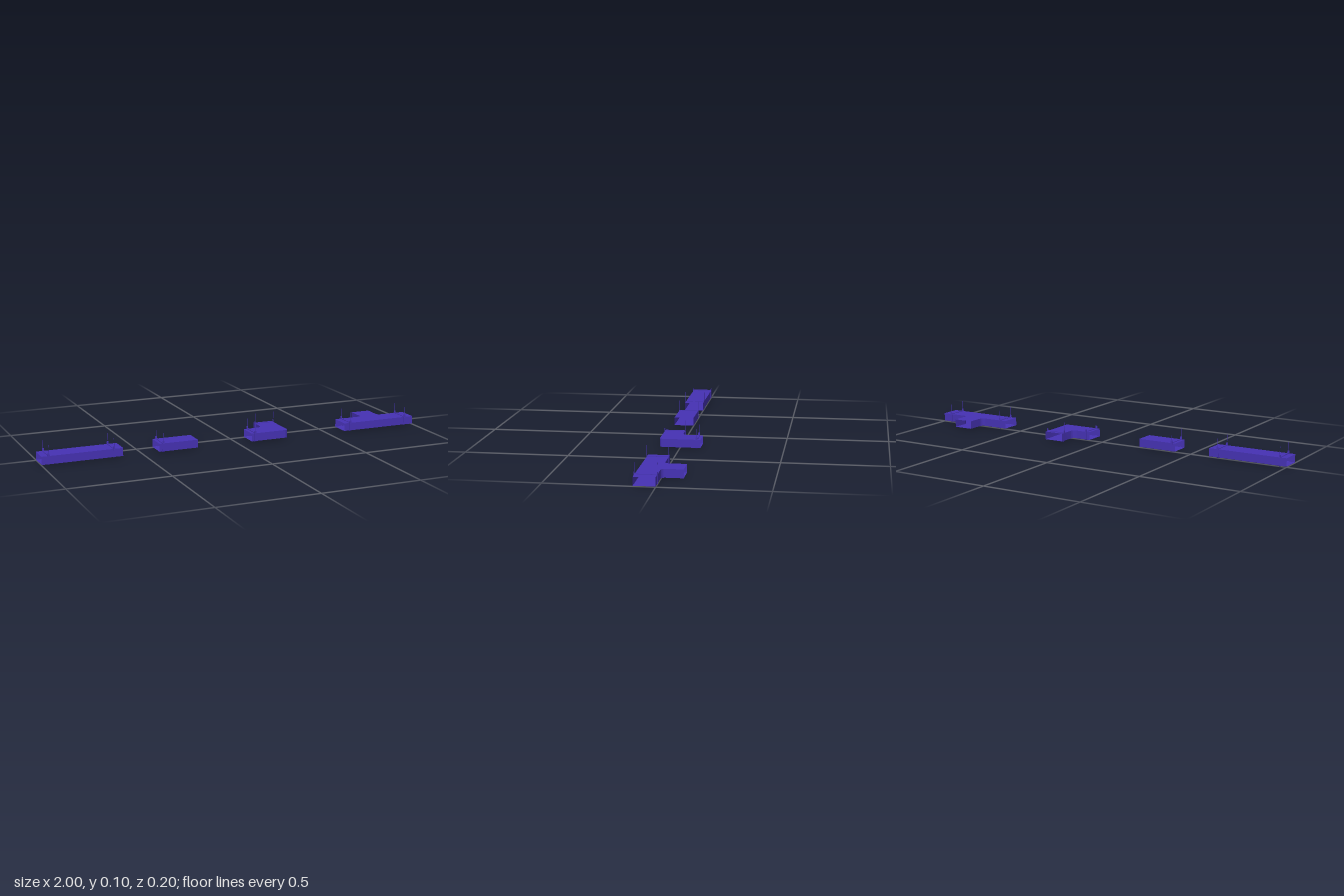
import * as THREE from 'three';
import { toCreasedNormals } from 'three/addons/utils/BufferGeometryUtils.js';

const BOTTOM = 0.0045, TOP = 0.0445, MID = (BOTTOM + TOP) / 2;
const material = new THREE.MeshStandardMaterial({ color: 0x4632b4, side: THREE.DoubleSide });

// Plan path through [x, z, cornerRadius] points, with rounded corners.
function roundedPath(corners) {
  const path = [];
  corners.forEach(([x, z, r], i) => {
    const p = new THREE.Vector2(x, z);
    if (!r) return path.push(p);
    const toward = ([qx, qz]) => new THREE.Vector2(qx - x, qz - z).setLength(r).add(p);
    const a = toward(corners[i - 1]), b = toward(corners[i + 1]);
    path.push(...new THREE.QuadraticBezierCurve(a, p, b).getPoints(8));
  });
  return path;
}

// Upright sheet following a plan path.
function wallGeometry(path) {
  const position = [], index = [];
  path.forEach((p, i) => {
    position.push(p.x, BOTTOM, p.y, p.x, TOP, p.y);
    const k = i * 2;
    if (i) index.push(k - 2, k, k - 1, k - 1, k, k + 1);
  });
  const g = new THREE.BufferGeometry();
  g.setAttribute('position', new THREE.Float32BufferAttribute(position, 3));
  g.setIndex(index);
  return toCreasedNormals(g, 0.6);
}

// Open-ended sheet duct: the walls, in order around the plan, leave the mouths open.
function duct(name, walls) {
  const group = new THREE.Group();
  group.name = name;
  const add = (geometry, part) => {
    const mesh = new THREE.Mesh(geometry, material);
    mesh.name = part;
    group.add(mesh);
    return mesh;
  };
  const paths = walls.map(roundedPath);
  const outline = paths.flat().map((p) => new THREE.Vector2(p.x, -p.y));
  const plate = new THREE.ShapeGeometry(new THREE.Shape(outline)).rotateX(-Math.PI / 2);
  add(plate, 'ductTop').position.y = TOP;
  add(plate, 'ductBottom').position.y = BOTTOM;
  paths.forEach((p) => add(wallGeometry(p), 'ductWall'));
  return group;
}

function roundedRect(target, w, h, r) {
  const x = w / 2, y = h / 2;
  target.moveTo(-x + r, -y);
  target.lineTo(x - r, -y).absarc(x - r, -y + r, r, -Math.PI / 2, 0);
  target.lineTo(x, y - r).absarc(x - r, y - r, r, 0, Math.PI / 2);
  target.lineTo(-x + r, y).absarc(-x + r, y - r, r, Math.PI / 2, Math.PI);
  target.lineTo(-x, -y + r).absarc(-x + r, -y + r, r, Math.PI, Math.PI * 1.5);
  return target;
}

// Band around the duct, with a tab and a thin hanging rod on each side.
function hanger(x, z, turn) {
  const group = new THREE.Group();
  group.name = 'hanger';
  const width = 0.009;
  const band = roundedRect(new THREE.Shape(), 0.105, 0.0455, 0.005);
  band.holes.push(roundedRect(new THREE.Path(), 0.1, 0.0405, 0.003));
  const bandGeometry = new THREE.ExtrudeGeometry(band, { depth: width, bevelEnabled: false, curveSegments: 4 });
  const strap = new THREE.Mesh(bandGeometry.translate(0, 0, -width / 2), material);
  strap.name = 'strap';
  strap.position.y = MID;
  group.add(strap);
  for (const side of [-1, 1]) {
    const tab = new THREE.Mesh(new THREE.BoxGeometry(0.0025, 0.018, width), material);
    tab.name = 'tab';
    tab.position.set(side * 0.051, 0.048, 0);
    const rod = new THREE.Mesh(new THREE.CylinderGeometry(0.001, 0.001, 0.045, 8), material);
    rod.name = 'rod';
    rod.position.set(side * 0.051, 0.0755, 0);
    group.add(tab, rod);
  }
  group.position.set(x, 0, z);
  group.rotation.y = turn;
  return group;
}

export function createModel() {
  const model = new THREE.Group();
  model.name = 'ductSet';
  const across = Math.PI / 2;

  // Straight runs
  const straight = (name, x0, x1) =>
    duct(name, [[[x0, 0.1], [x1, 0.1]], [[x1, 0], [x0, 0]]]);
  model.add(straight('longDuct', -1, -0.6), straight('shortDuct', -0.415, -0.215));

  // Elbow turning to the back
  model.add(duct('elbowDuct', [
    [[0.075, 0.1], [0.275, 0.1, 0.018], [0.275, -0.1]],
    [[0.175, -0.1], [0.175, 0, 0.028], [0.075, 0]],
  ]));

  // Tee with its branch to the back
  model.add(duct('teeDuct', [
    [[0.597, 0.1], [1, 0.1]],
    [[1, 0], [0.848, 0, 0.022], [0.848, -0.1]],
    [[0.748, -0.1], [0.748, 0, 0.022], [0.597, 0]],
  ]));

  // Hangers across the runs, and one on the elbow's rear leg
  for (const x of [-0.965, -0.645, -0.395, 0.095, 0.632, 0.953]) model.add(hanger(x, 0.05, across));
  model.add(hanger(0.225, -0.08, 0));
  return model;
}
